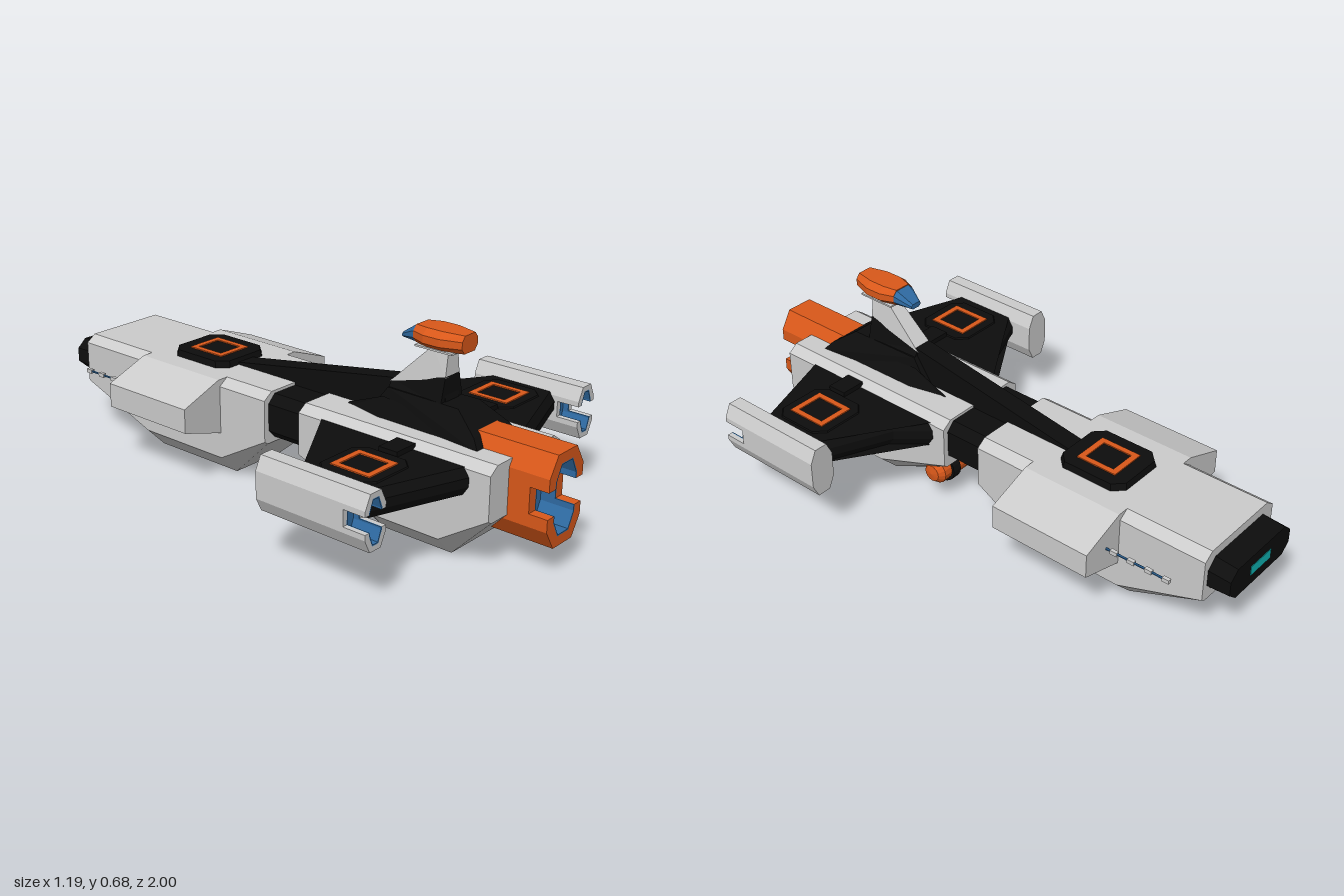
import * as THREE from 'three';

const mat = (c) => new THREE.MeshStandardMaterial({ color: c, flatShading: true });
const GREY = mat(0xcccccc), BLACK = mat(0x0d0d0d), ORANGE = mat(0xd9581a), BLUE = mat(0x2f6ba3), CYAN = mat(0x10b5b5);

function add(parent, name, geo, material) {
  const m = new THREE.Mesh(geo, material);
  m.name = name;
  parent.add(m);
  return m;
}

// Closed solid through rings of 3D points, always wound outwards
function loft(rings) {
  const tris = [], n = rings[0].length;
  for (let r = 0; r + 1 < rings.length; r++) {
    for (let i = 0; i < n; i++) {
      const j = (i + 1) % n, a = rings[r], b = rings[r + 1];
      tris.push([a[i], a[j], b[j]], [a[i], b[j], b[i]]);
    }
  }
  const f = rings[0], l = rings[rings.length - 1];
  for (let i = 1; i + 1 < n; i++) tris.push([f[0], f[i + 1], f[i]], [l[0], l[i], l[i + 1]]);
  let vol = 0;
  for (const [a, b, c] of tris) {
    vol += new THREE.Vector3(...a).dot(new THREE.Vector3(...b).cross(new THREE.Vector3(...c)));
  }
  if (vol < 0) tris.forEach((t) => t.reverse());
  const g = new THREE.BufferGeometry();
  g.setAttribute('position', new THREE.Float32BufferAttribute(tris.flat(2), 3));
  g.computeVertexNormals();
  return g;
}

// Octagon outline from half width, y range and corner cuts
const oct = (w, y0, y1, cx, cy) => [
  [w, y0 + cy], [w, y1 - cy], [w - cx, y1], [cx - w, y1],
  [-w, y1 - cy], [-w, y0 + cy], [cx - w, y0], [w - cx, y0]];
const atZ = (pts, z) => pts.map(([x, y]) => [x, y, z]);
const atY = (pts, y) => pts.map(([x, z]) => [x, y, z]);
// Side profile of [z, y, halfWidth] mirrored across x
const slab = (p) => loft([-1, 1].map((s) => p.map(([z, y, w]) => [s * w, y, z])));
const shapeOf = (pts) => new THREE.Shape(pts.map((p) => new THREE.Vector2(...p)));
const extrude = (shape, z0, z1) =>
  new THREE.ExtrudeGeometry(shape, { depth: z1 - z0, bevelEnabled: false }).translate(0, 0, z0);

// Hull cross-section with chamfered top and a keel of variable depth
const hullRing = (z, low, side, keel) => atZ([
  [0.15, 0.36], [-0.15, 0.36], [-0.185, 0.335], [-0.185, side],
  [-keel, low], [keel, low], [0.185, side], [0.185, 0.335]], z);
const hull = (za, zb, zc, zd) => loft([
  hullRing(za, 0.18, 0.19, 0.17), hullRing(zb, 0, 0.075, 0.11),
  hullRing(zc, 0, 0.075, 0.11), hullRing(zd, 0.18, 0.19, 0.17)]);

// Octagonal exhaust duct, open at +z, with a slot cut into both sides of the mouth
function duct(parent, name, material, o) {
  const { w, y0, y1, cx, cy, t, z0, floor, slotZ, z1, slot } = o;
  const mid = (y0 + y1) / 2;
  add(parent, name + 'Body', loft([atZ(oct(w, y0, y1, cx, cy), z0), atZ(oct(w, y0, y1, cx, cy), floor)]), material);
  const wall = (label, m, outer, inner) => {
    const ring = shapeOf(oct(...outer));
    ring.holes.push(new THREE.Path(oct(...inner).map((p) => new THREE.Vector2(...p))));
    add(parent, label + 'Wall', extrude(ring, floor, slotZ), m);
    for (const s of [1, -1]) {
      const half = (q) => {
        const [hw, a, b, kx, ky] = q, h = (b - a) / 2;
        return [[hw, slot], [hw, h - ky], [hw - kx, h], [kx - hw, h], [-hw, h - ky], [-hw, slot]]
          .map(([x, y]) => [x, mid + s * y]);
      };
      add(parent, label + 'Lip', extrude(shapeOf([...half(outer), ...half(inner).reverse()]), slotZ, z1), m);
    }
  };
  const inset = (d) => [w - d, y0 + d, y1 - d, cx - d * 0.4, cy - d * 0.4];
  wall(name, material, inset(0), inset(t));
  wall(name + 'Liner', BLUE, inset(t), inset(t + 0.004));
  add(parent, name + 'Glow', extrude(shapeOf(oct(...inset(t))), floor, floor + 0.004), BLUE);
}

// Octagonal landing pad with a square painted frame
function pad(parent, x, y, z, w, d, h) {
  const g = new THREE.Group();
  g.name = 'landingPad';
  g.position.set(x, y, z);
  const base = (k) => oct(w * k, -d * k, d * k, 0.035, 0.035);
  add(g, 'padBase', loft([atY(base(1), 0), atY(base(0.96), h)]), BLACK);
  const frame = shapeOf([[-0.067, -0.075], [0.067, -0.075], [0.067, 0.075], [-0.067, 0.075]]);
  frame.holes.push(new THREE.Path([[-0.047, -0.054], [-0.047, 0.054], [0.047, 0.054], [0.047, -0.054]]
    .map((p) => new THREE.Vector2(...p))));
  add(g, 'padFrame', extrude(frame, 0, 0.004).rotateX(-Math.PI / 2).translate(0, h, 0), ORANGE);
  parent.add(g);
}

export function createModel() {
  const ship = new THREE.Group();
  ship.name = 'spaceship';

  // Main hulls, the neck between them and the nose
  add(ship, 'forwardHull', hull(-0.035, -0.24, -0.61, -0.92), GREY);
  add(ship, 'aftHull', hull(0.86, 0.68, 0.42, 0.115), GREY);
  const neck = oct(0.165, 0.195, 0.35, 0.03, 0.03);
  add(ship, 'neck', loft([atZ(neck, -0.06), atZ(neck, 0.14)]), BLACK);
  add(ship, 'nose', loft([atZ(oct(0.165, 0.2, 0.33, 0.035, 0.035), -0.9),
    atZ(oct(0.165, 0.21, 0.32, 0.035, 0.03), -1)]), BLACK);
  add(ship, 'noseWindow', new THREE.BoxGeometry(0.11, 0.035, 0.006).translate(0, 0.265, -0.999), CYAN);
  pad(ship, 0, 0.358, -0.425, 0.115, 0.13, 0.025);

  // Dorsal spine and fin
  add(ship, 'spineBase', slab([[0.76, 0.355, 0.11], [0.73, 0.39, 0.09], [0.645, 0.45, 0.055],
    [0.37, 0.45, 0.05], [0.3, 0.355, 0.06]]), BLACK);
  add(ship, 'spine', slab([[0.6, 0.34, 0.035], [0.58, 0.47, 0.035], [0.37, 0.478, 0.033],
    [-0.31, 0.366, 0.035], [-0.31, 0.34, 0.035]]), BLACK);
  add(ship, 'finRoot', slab([[0.58, 0.44, 0.057], [0.58, 0.53, 0.036], [0.37, 0.475, 0.03], [0.37, 0.44, 0.05]]), BLACK);
  add(ship, 'fin', slab([[0.58, 0.525, 0.036], [0.58, 0.615, 0.024], [0.52, 0.615, 0.024], [0.365, 0.465, 0.034]]), GREY);

  // Raised bridge with its windscreen
  const deck = (z, w, y0, y1) => atZ(oct(w, y0, y1, w * 0.35, (y1 - y0) * 0.3), z);
  add(ship, 'bridge', loft([deck(0.64, 0.04, 0.615, 0.673), deck(0.57, 0.064, 0.612, 0.675),
    deck(0.51, 0.064, 0.612, 0.675), deck(0.46, 0.045, 0.615, 0.672)]), ORANGE);
  add(ship, 'windscreen', loft([deck(0.485, 0.052, 0.617, 0.671), deck(0.455, 0.043, 0.616, 0.668),
    deck(0.4, 0.022, 0.614, 0.632)]), BLUE);
  add(ship, 'bridgeKeel', new THREE.BoxGeometry(0.1, 0.006, 0.14).translate(0, 0.612, 0.54), GREY);

  // Main engine
  duct(ship, 'mainEngine', ORANGE, { w: 0.09, y0: 0.1, y1: 0.4, cx: 0.04, cy: 0.065, t: 0.033,
    z0: 0.7, floor: 0.88, slotZ: 0.935, z1: 1, slot: 0.043 });

  // Fuel tank slung under the aft hull
  const tank = new THREE.Group();
  tank.name = 'fuelTank';
  tank.position.set(0, 0.12, 0.185);
  tank.rotation.z = Math.PI / 2;
  add(tank, 'tankBody', new THREE.LatheGeometry([[0, -0.18], [0.03, -0.175], [0.046, -0.155], [0.046, 0.155],
    [0.03, 0.175], [0, 0.18]].map((p) => new THREE.Vector2(...p)), 16), ORANGE);
  for (const s of [-1, 1]) {
    add(tank, 'tankBand', new THREE.CylinderGeometry(0.055, 0.055, 0.035, 16).translate(0, s * 0.105, 0), BLACK);
    add(ship, 'tankBracket', new THREE.BoxGeometry(0.03, 0.06, 0.05).translate(s * 0.105, 0.17, 0.185), BLACK);
  }
  ship.add(tank);

  for (const s of [-1, 1]) {
    const side = s > 0 ? 'left' : 'right';
    const dz = s > 0 ? -0.035 : 0;

    // Sponson on the forward hull
    const sponson = [[0.13, 0.36], [0.19, 0.36], [0.35, 0.3], [0.35, 0.215], [0.18, 0.165]].map(([x, y]) => [s * x, y]);
    add(ship, side + 'Sponson', loft([atZ(sponson, -0.61), atZ(sponson, -0.24)]), GREY);

    // Antenna with coloured segments
    const rod = new THREE.CylinderGeometry(0.004, 0.004, 0.24, 6).rotateX(Math.PI / 2);
    add(ship, side + 'Antenna', rod.translate(s * 0.25, 0.265, -0.72), BLUE);
    for (let i = 0; i < 4; i++) {
      add(ship, side + 'AntennaJoint', new THREE.BoxGeometry(0.013, 0.014, 0.025)
        .translate(s * 0.25, 0.265, -0.64 - i * 0.064), GREY);
    }

    // Wing, its pad and the pad's root block
    const plan = (k) => [[0.15, 0.17 + k], [0.185, 0.2 + k], [0.27, 0.3 + k], [0.51, 0.4 + k - dz * 0.2],
      [0.51, 0.67 - k], [0.185, 0.785 - k], [0.15, 0.79 - k]].map(([x, z]) => [s * x, z + dz]);
    add(ship, side + 'Wing', loft([atY(plan(0.02), 0.25), atY(plan(0), 0.28),
      atY(plan(0), 0.31), atY(plan(0.02), 0.338)]), BLACK);
    pad(ship, s * 0.37, 0.335, 0.54 + dz, 0.11, 0.11, 0.008);
    add(ship, side + 'PadBlock', new THREE.BoxGeometry(0.09, 0.03, 0.07).translate(s * 0.215, 0.34, 0.54), BLACK);

    // Black prong along the spine base
    add(ship, side + 'Prong', loft([[[0.055, 0.35, 0.22], [0.062, 0.35, 0.22], [0.06, 0.365, 0.22]],
      [[0.05, 0.35, 0.36], [0.095, 0.35, 0.36], [0.06, 0.42, 0.36]],
      [[0.05, 0.35, 0.73], [0.1, 0.35, 0.73], [0.08, 0.39, 0.73]]]
      .map((r) => r.map(([x, y, z]) => [s * x, y, z]))), BLACK);

    // Wingtip engine
    const nacelle = new THREE.Group();
    nacelle.name = side + 'Nacelle';
    nacelle.position.x = s * 0.548;
    duct(nacelle, 'nacelle', GREY, { w: 0.046, y0: 0.195, y1: 0.375, cx: 0.022, cy: 0.045, t: 0.017,
      z0: 0.315, floor: 0.625, slotZ: 0.65, z1: 0.73, slot: 0.027 });
    ship.add(nacelle);
  }
  return ship;
}
